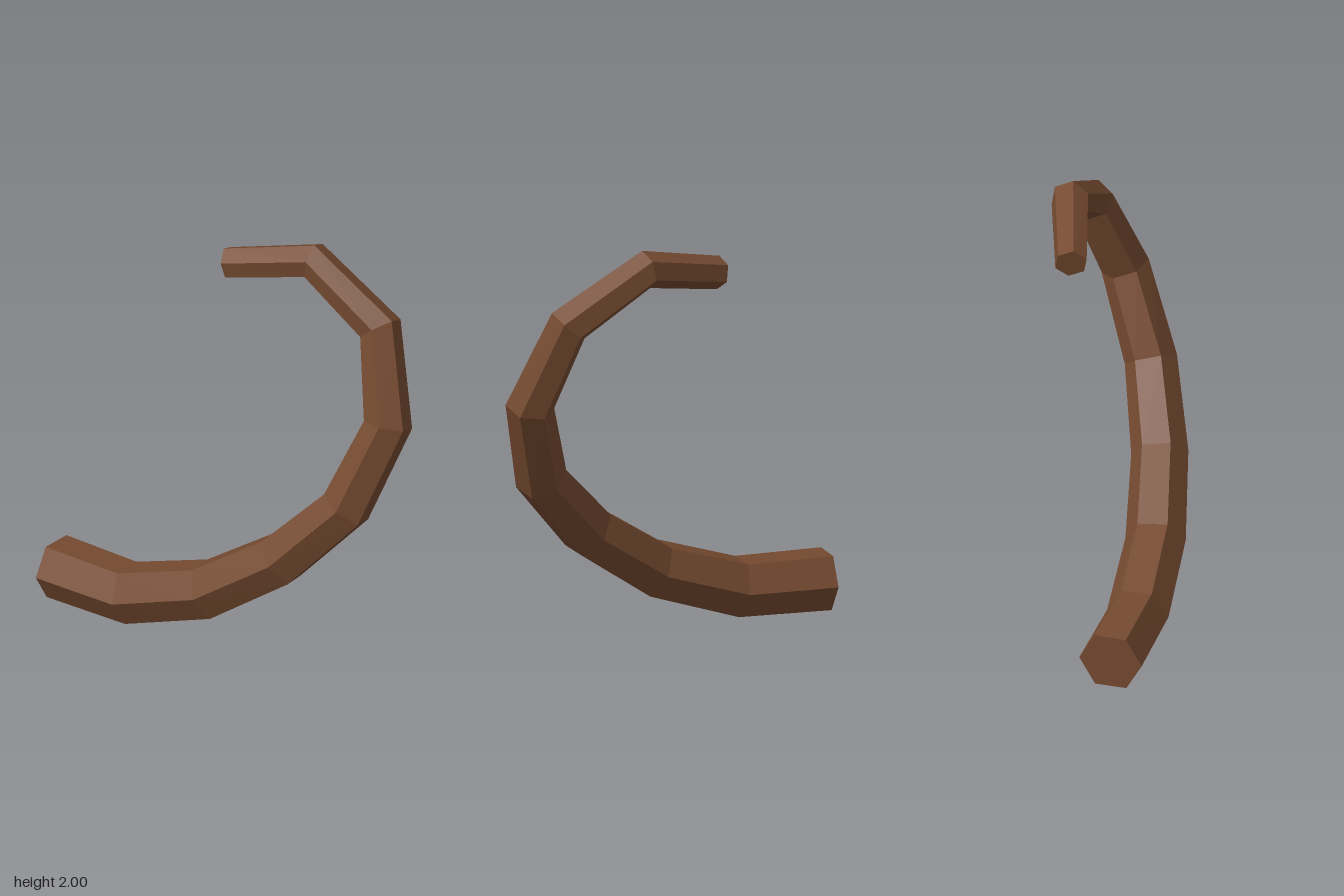
import * as THREE from 'three';

// Spine of the curl from thick base to thin tip: x, y, z, radius
const SPINE = [
  [-0.51, 0.132, -0.72, 0.151],
  [-0.345, 0.145, -0.305, 0.147],
  [-0.145, 0.297, 0.083, 0.142],
  [0.07, 0.547, 0.388, 0.134],
  [0.295, 0.867, 0.607, 0.124],
  [0.488, 1.275, 0.66, 0.115],
  [0.545, 1.685, 0.482, 0.103],
  [0.39, 1.91, 0.12, 0.091],
  [0.12, 1.812, -0.215, 0.078],
];
const SIDES = 6;

// Six-sided rings square to the spine, carried along it without twist
function makeRings() {
  const centres = SPINE.map(([x, y, z]) => new THREE.Vector3(x, y, z));
  const last = centres.length - 1;
  const direction = (i) => centres[i + 1].clone().sub(centres[i]).normalize();
  const u = new THREE.Vector3(0.935, 0, -0.35);
  const rings = centres.map((centre, i) => {
    const t = direction(Math.min(i, last - 1));
    if (i > 0 && i < last) t.add(direction(i - 1)).normalize();
    u.addScaledVector(t, -u.dot(t)).normalize();
    const v = t.clone().cross(u);
    return Array.from({ length: SIDES }, (_, k) => {
      const a = (k / SIDES) * Math.PI * 2;
      return centre.clone()
        .addScaledVector(u, Math.cos(a) * SPINE[i][3])
        .addScaledVector(v, Math.sin(a) * SPINE[i][3]);
    });
  });
  return { centres, rings };
}

// Unshared corners give flat facets
function facetGeometry(points) {
  const geometry = new THREE.BufferGeometry().setFromPoints(points);
  geometry.computeVertexNormals();
  return geometry;
}

export function createModel() {
  const model = new THREE.Group();
  model.name = 'curvedHorn';
  const brown = new THREE.MeshStandardMaterial({ color: 0x754a30 });
  brown.name = 'brown';

  const { centres, rings } = makeRings();
  const last = rings.length - 1;
  const shaft = [], baseCap = [], tipCap = [];
  for (let k = 0; k < SIDES; k++) {
    const n = (k + 1) % SIDES;
    for (let i = 0; i < last; i++) {
      const [a, b, c, d] = [rings[i][k], rings[i][n], rings[i + 1][n], rings[i + 1][k]];
      shaft.push(a, b, c, a, c, d);
    }
    baseCap.push(centres[0], rings[0][n], rings[0][k]);
    tipCap.push(centres[last], rings[last][k], rings[last][n]);
  }

  for (const [name, points] of Object.entries({ shaft, baseCap, tipCap })) {
    const mesh = new THREE.Mesh(facetGeometry(points), brown);
    mesh.name = name;
    model.add(mesh);
  }
  return model;
}
